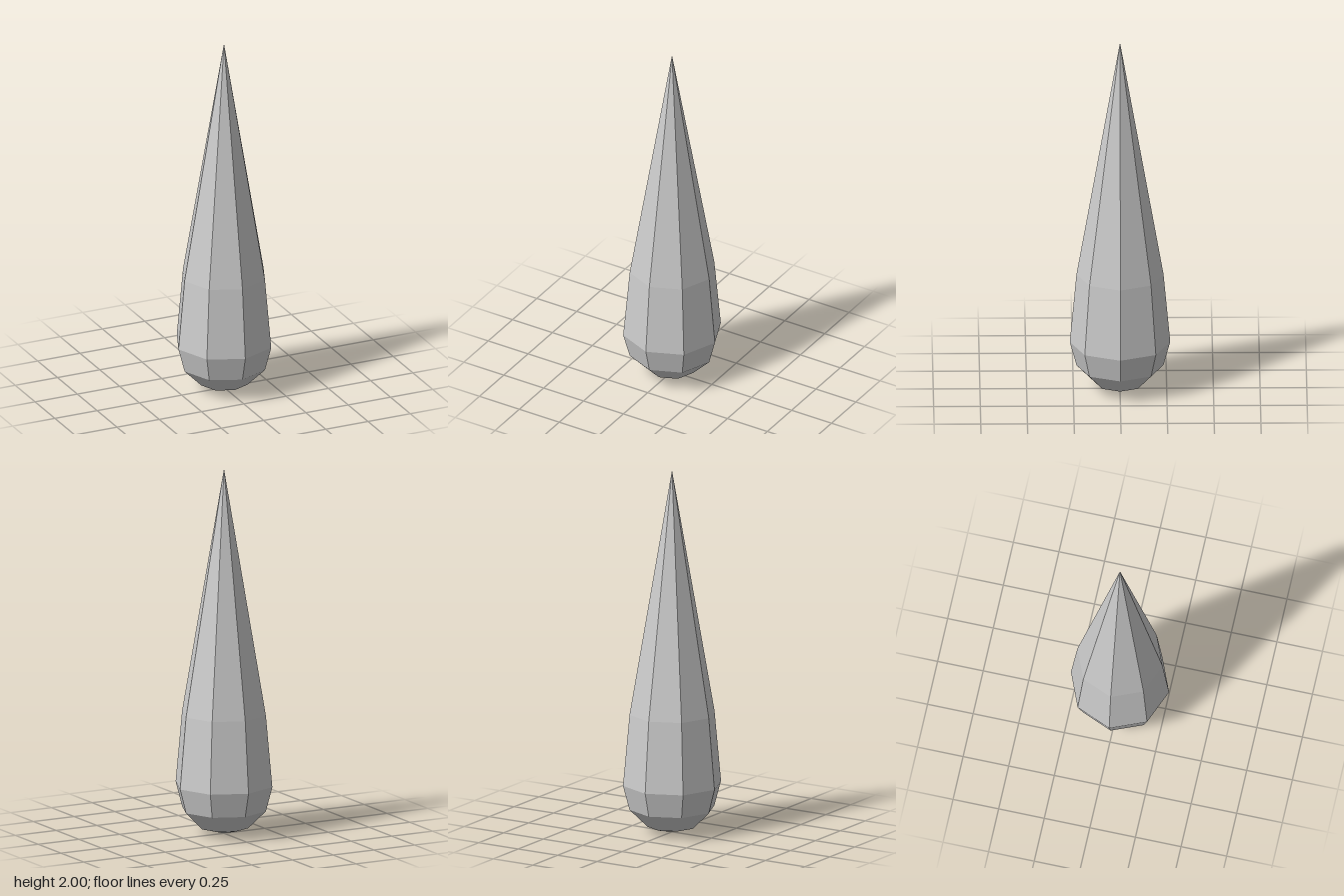
import * as THREE from 'three';

export function createModel() {
  const group = new THREE.Group();
  group.name = 'teardrop';

  const sides = 8;
  const radius = 0.269;
  const profile = [];

  // Rounded bottom: a quarter circle in 30 degree steps
  for (let i = 0; i <= 3; i++) {
    const a = (i * Math.PI) / 6;
    profile.push(new THREE.Vector2(radius * Math.sin(a), radius * (1 - Math.cos(a))));
  }
  // Long taper up to the point
  profile.push(new THREE.Vector2(0.233, 0.66), new THREE.Vector2(0, 2));

  const drop = new THREE.Mesh(
    new THREE.LatheGeometry(profile, sides),
    new THREE.MeshStandardMaterial({ color: 0xcccccc, flatShading: true })
  );
  drop.name = 'dropBody';
  group.add(drop);
  return group;
}
